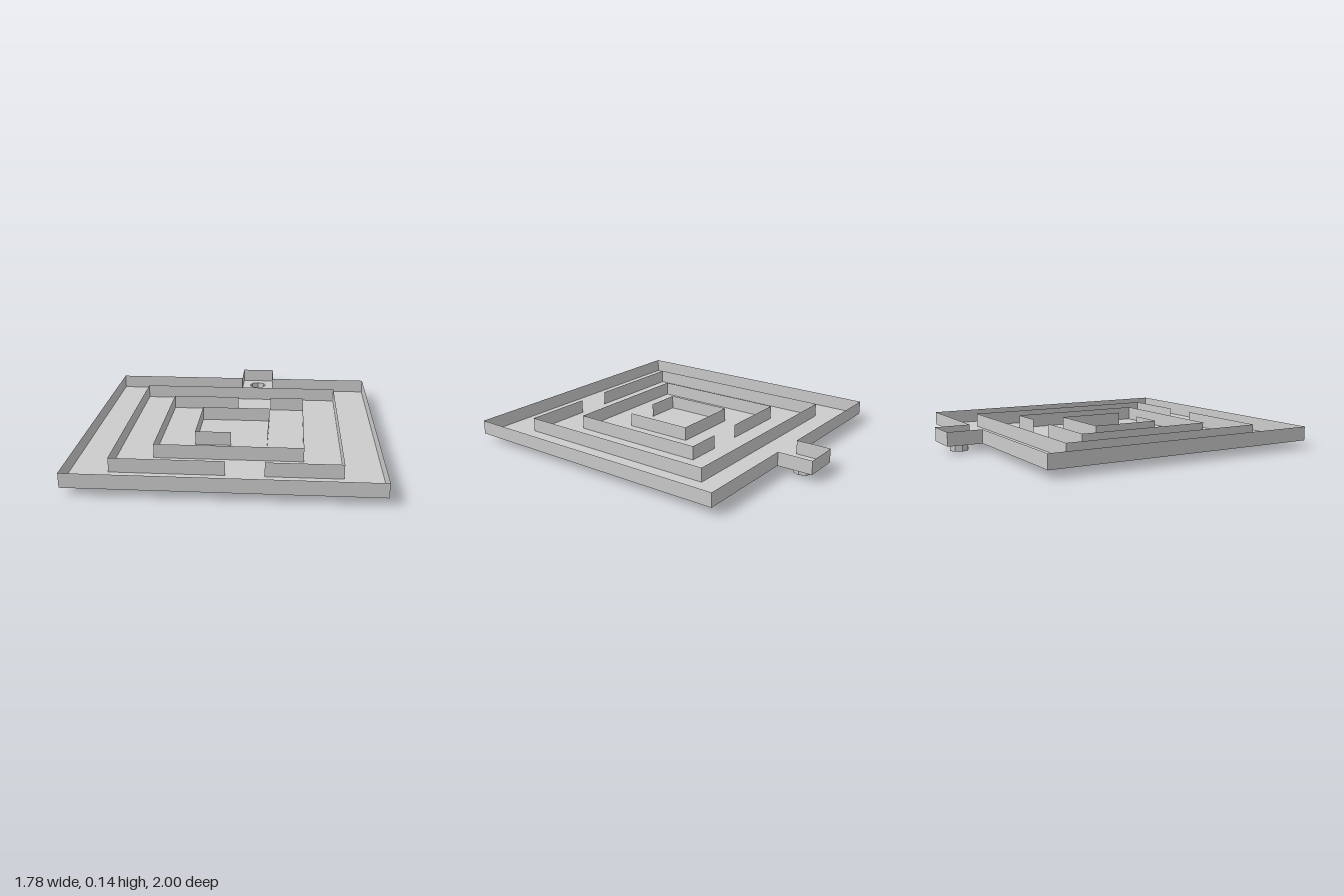
import * as THREE from 'three';

const CELL = 2 / 9;            // maze grid cell
const FLOOR = 0.048, TOP = 0.135;
const CUP_R = 0.059;

// grid coordinates (column, row from the back) to model x and z
const gx = (u) => (u - 4) * CELL;
const gz = (v) => (v - 4) * CELL + CELL / 2;

export function createModel() {
  const group = new THREE.Group();
  const material = new THREE.MeshStandardMaterial({
    color: 0xcccccc, flatShading: true, side: THREE.DoubleSide,
  });
  const add = (name, geometry) => {
    const mesh = new THREE.Mesh(geometry, material);
    mesh.name = name;
    group.add(mesh);
    return mesh;
  };

  // Thin upright wall following a list of grid points
  const wall = (name, path) => {
    const pos = [];
    for (let i = 0; i < path.length - 1; i++) {
      const [x0, z0] = [gx(path[i][0]), gz(path[i][1])];
      const [x1, z1] = [gx(path[i + 1][0]), gz(path[i + 1][1])];
      pos.push(x0, FLOOR, z0, x1, FLOOR, z1, x1, TOP, z1);
      pos.push(x0, FLOOR, z0, x1, TOP, z1, x0, TOP, z0);
    }
    const geometry = new THREE.BufferGeometry();
    geometry.setAttribute('position', new THREE.Float32BufferAttribute(pos, 3));
    geometry.computeVertexNormals();
    return add(name, geometry);
  };

  // Outline of the tray with its square tab at the back
  const outline = [[4, 0], [4, -1], [5, -1], [5, 0], [8, 0], [8, 8], [0, 8], [0, 0], [4, 0]];
  wall('outerWall', outline);

  // Floor with an eight-sided hole in the tab
  const cupX = gx(4.5), cupZ = gz(-0.5);
  const shape = new THREE.Shape(outline.slice(0, -1).map(([u, v]) => new THREE.Vector2(gx(u), -gz(v))));
  const hole = [];
  for (let i = 0; i < 8; i++) {
    const a = (i * Math.PI) / 4;
    hole.push(new THREE.Vector2(cupX + CUP_R * Math.cos(a), -cupZ + CUP_R * Math.sin(a)));
  }
  shape.holes.push(new THREE.Path(hole));
  add('floor', new THREE.ShapeGeometry(shape).rotateX(-Math.PI / 2).translate(0, FLOOR, 0));

  // Nested square maze walls, each with a one-cell gap alternating front and back
  for (let n = 1; n <= 3; n++) {
    const a = n, b = 8 - n;
    const [gapSide, farSide] = n === 2 ? [a, b] : [b, a];
    const path = [[4, gapSide], [a, gapSide], [a, farSide], [b, farSide], [b, gapSide]];
    if (b > 5) path.push([5, gapSide]);
    wall('mazeWall' + n, path);
  }

  // Shallow cup below the tab
  add('cupWall', new THREE.CylinderGeometry(CUP_R, CUP_R, FLOOR, 8, 1, true)
    .translate(cupX, FLOOR / 2, cupZ));
  add('cupBottom', new THREE.CircleGeometry(CUP_R, 8).rotateX(-Math.PI / 2)
    .translate(cupX, 0, cupZ));

  return group;
}
